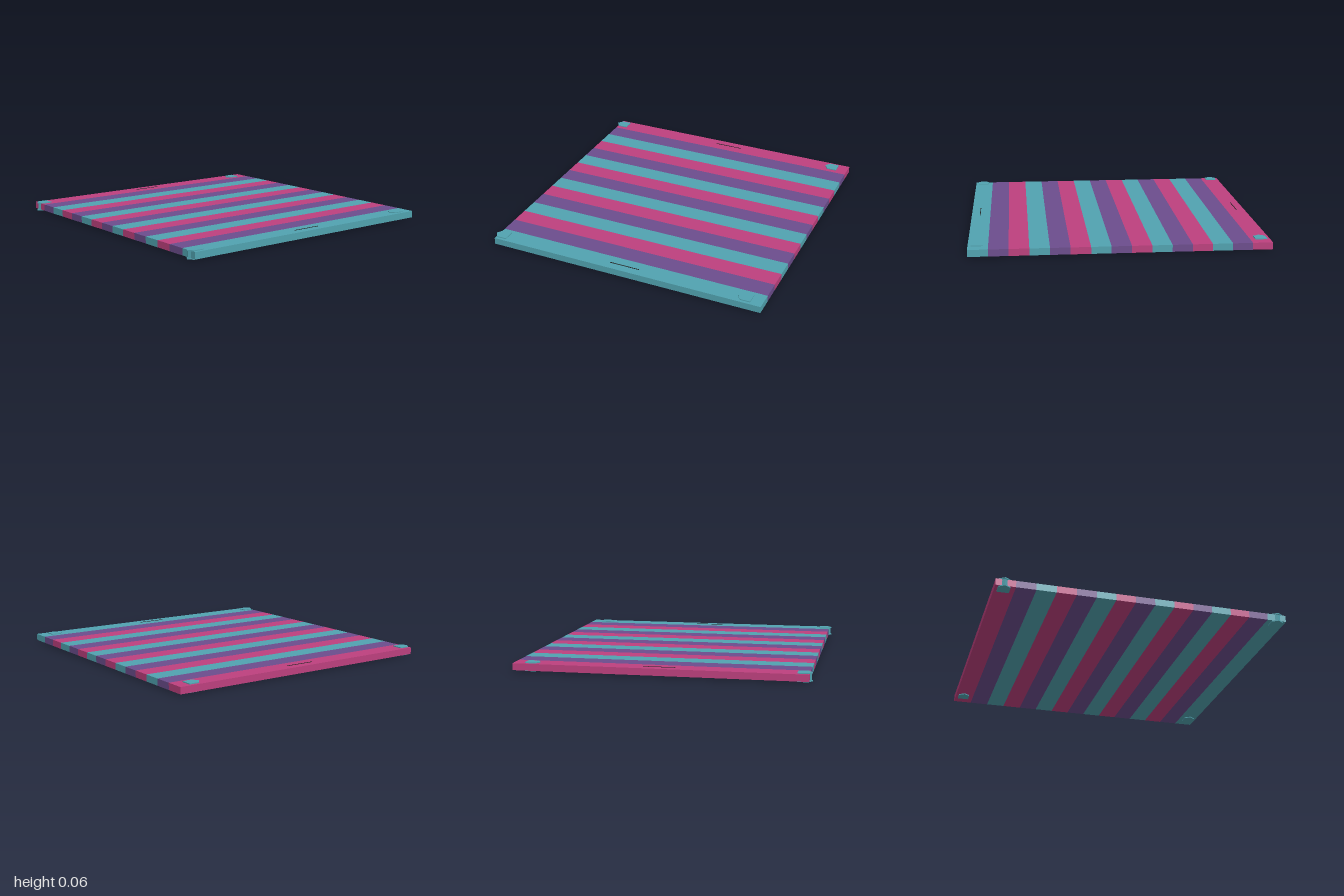
import * as THREE from 'three';

export function createModel() {
  const group = new THREE.Group();
  group.name = 'stripedPanel';
  const mat = (color) => new THREE.MeshStandardMaterial({ color, flatShading: true });
  const pink = mat(0xbd407e), purple = mat(0x6c4d8d), teal = mat(0x51a3b0), dark = mat(0x222222);

  function add(parent, name, geometry, material, x, y, z) {
    const mesh = new THREE.Mesh(geometry, material);
    mesh.name = name;
    mesh.position.set(x, y, z);
    parent.add(mesh);
    return mesh;
  }

  // Slab made of fifteen planks in three repeating colours
  const bottom = 0.01, top = 0.057, back = -1, front = 0.977;
  const count = 15, width = 2 / count;
  const plank = new THREE.BoxGeometry(width, top - bottom, front - back);
  for (let i = 0; i < count; i++) {
    add(group, 'plank' + (i + 1), plank, [pink, purple, teal][i % 3],
      -1 + width * (i + 0.5), (top + bottom) / 2, (front + back) / 2);
  }

  // Pentagonal prism standing on y = 0, its point facing +z
  function pentagon(halfWidth, zBack, zShoulder, zTip, height) {
    const shape = new THREE.Shape([
      new THREE.Vector2(-halfWidth, -zBack),
      new THREE.Vector2(-halfWidth, -zShoulder),
      new THREE.Vector2(0, -zTip),
      new THREE.Vector2(halfWidth, -zShoulder),
      new THREE.Vector2(halfWidth, -zBack),
    ]);
    return new THREE.ExtrudeGeometry(shape, { depth: height, bevelEnabled: false }).rotateX(-Math.PI / 2);
  }

  // Corner pegs: a stem through the slab with a flange above and below
  const flange = pentagon(0.04, 0, 0.07, 0.097, 0.008);
  const stem = pentagon(0.028, 0.01, 0.071, 0.09, 0.052);
  for (const x of [-0.94, 0.94]) {
    for (const z of [-0.92, 0.899]) {
      const peg = new THREE.Group();
      peg.name = 'cornerPeg';
      peg.position.set(x, 0, z);
      add(peg, 'lowerFlange', flange, teal, 0, 0.003, 0);
      add(peg, 'stem', stem, teal, 0, 0.006, 0);
      add(peg, 'upperFlange', flange, teal, 0, 0.055, 0);
      group.add(peg);
    }
    // Fine line along each side edge
    add(group, 'sideLine', new THREE.BoxGeometry(0.005, 0.004, 0.215), dark, x, 0.0575, -0.008);
  }

  // Rest the pegs on the floor
  group.children.forEach((part) => { part.position.y -= 0.003; });
  return group;
}
